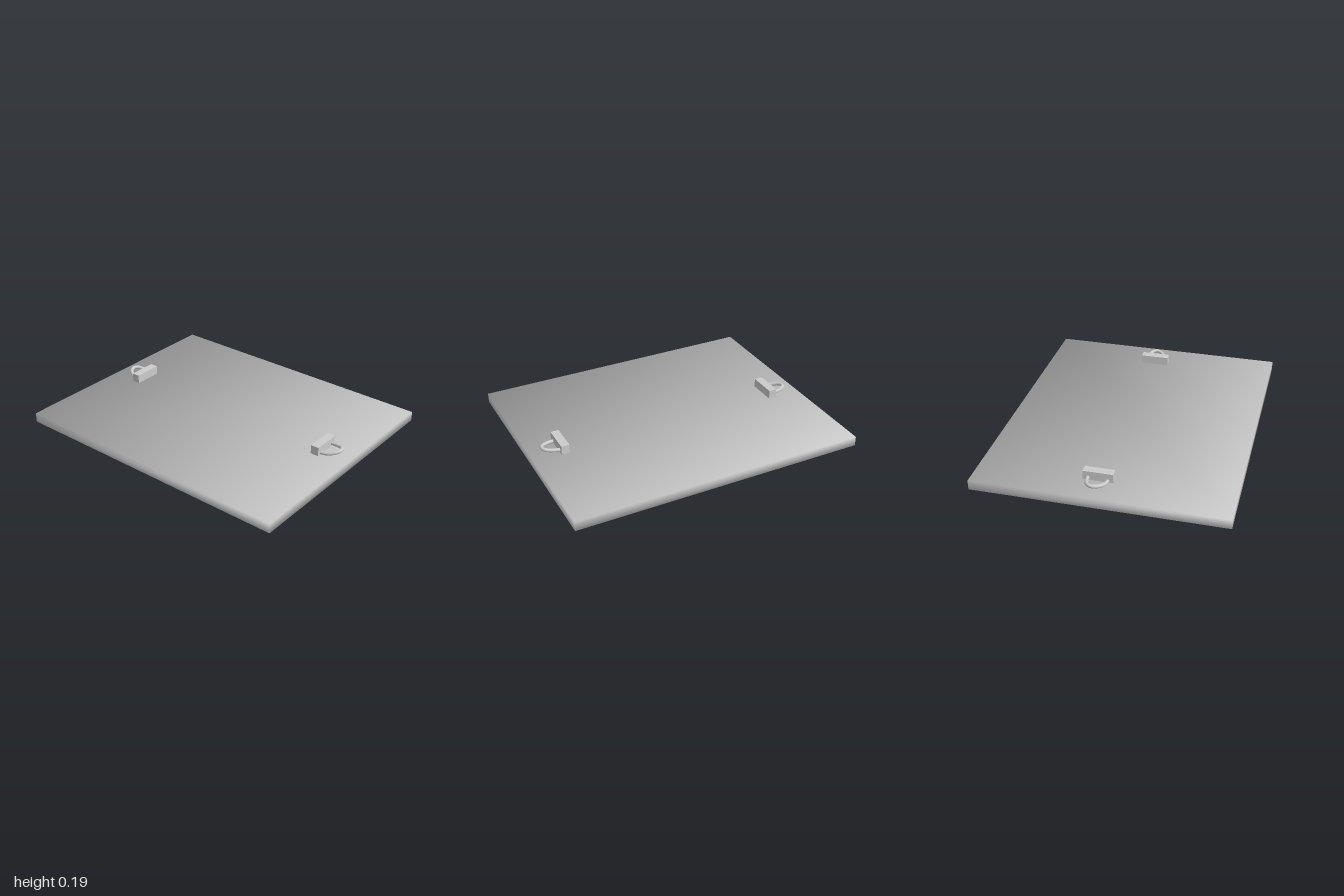
import * as THREE from 'three';
import { RoundedBoxGeometry } from 'three/addons/geometries/RoundedBoxGeometry.js';

const material = new THREE.MeshStandardMaterial({ color: 0xcccccc });

function addMesh(parent, name, geometry, x, y, z) {
  const mesh = new THREE.Mesh(geometry, material);
  mesh.name = name;
  mesh.position.set(x, y, z);
  parent.add(mesh);
  return mesh;
}

// Box whose corner normals point diagonally outward, for soft shading
function softBox(w, h, d) {
  const geometry = new THREE.BoxGeometry(w, h, d);
  const p = geometry.attributes.position;
  const n = new THREE.Vector3();
  for (let i = 0; i < p.count; i++) {
    n.set(Math.sign(p.getX(i)), Math.sign(p.getY(i)), Math.sign(p.getZ(i))).normalize();
    geometry.attributes.normal.setXYZ(i, n.x, n.y, n.z);
  }
  return geometry;
}

// D-shaped handle: rises outward from the bracket, a little higher at the back
function handleGeometry(side) {
  const points = [
    [0.78, 0.137, 0.018], [0.815, 0.138, 0.02], [0.86, 0.142, 0.008],
    [0.9, 0.152, -0.022], [0.914, 0.157, -0.056], [0.898, 0.156, -0.085],
    [0.86, 0.151, -0.1], [0.815, 0.146, -0.106], [0.78, 0.144, -0.106],
  ].map(([x, y, z]) => new THREE.Vector3(side * x, y, z));
  return new THREE.TubeGeometry(new THREE.CatmullRomCurve3(points), 48, 0.0125, 12);
}

export function createModel() {
  const model = new THREE.Group();
  model.name = 'hatchCover';

  // Flat panel
  addMesh(model, 'panel', softBox(2, 0.066, 1.645), 0, 0.094, 0);

  // Two battens under the panel
  addMesh(model, 'frontBatten', new RoundedBoxGeometry(1.82, 0.08, 0.2, 2, 0.008), 0, 0.042, 0.368);
  addMesh(model, 'backBatten', new RoundedBoxGeometry(1.82, 0.08, 0.2, 2, 0.008), 0, 0.048, -0.368);

  // Bracket and handle at each end
  for (const side of [1, -1]) {
    const grip = new THREE.Group();
    grip.name = side > 0 ? 'leftGrip' : 'rightGrip';
    addMesh(grip, 'bracket', new THREE.BoxGeometry(0.056, 0.075, 0.196), side * 0.784, 0.15, -0.042);
    addMesh(grip, 'handle', handleGeometry(side), 0, 0, 0);
    model.add(grip);
  }
  return model;
}
